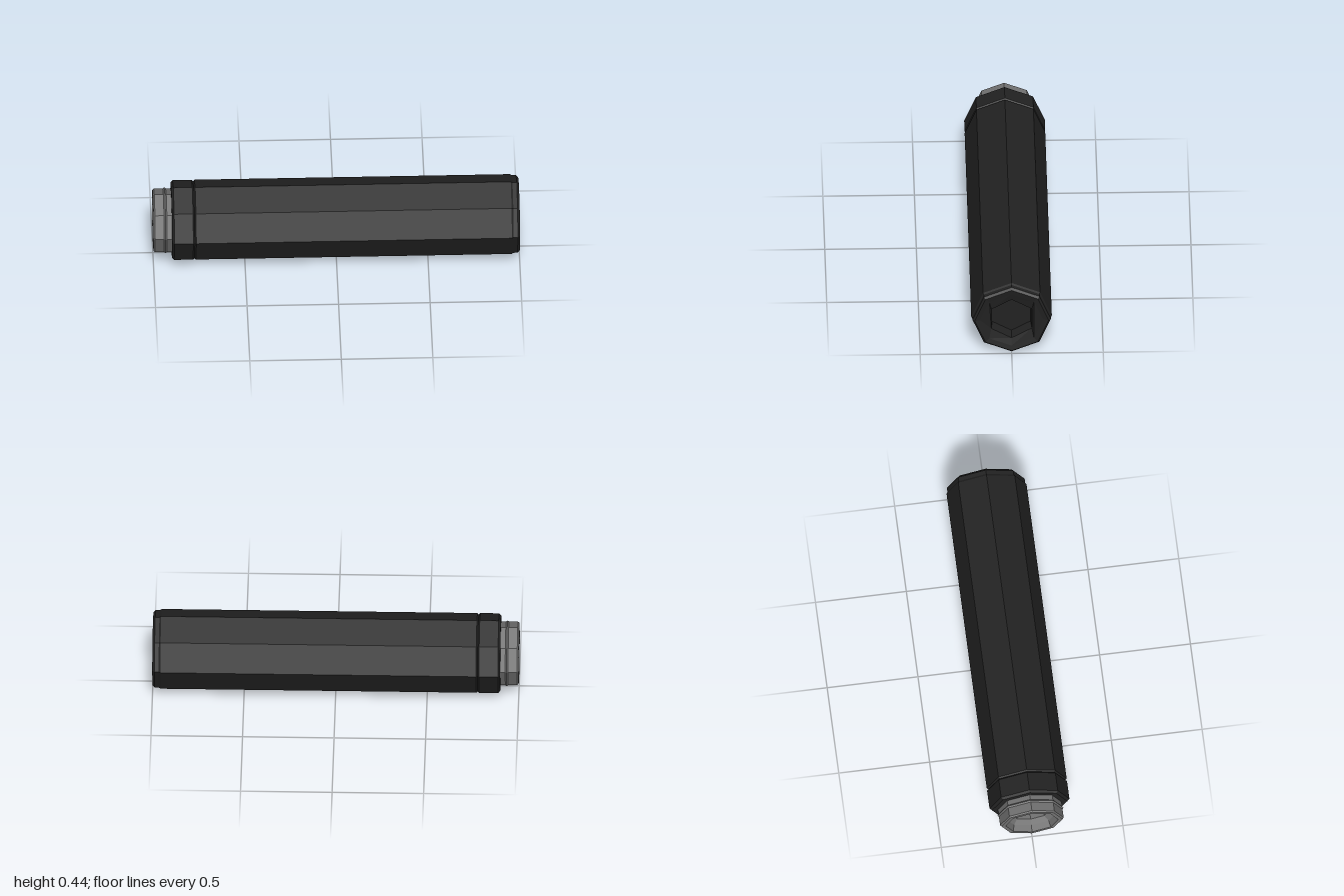
import * as THREE from 'three';

const AXIS_Y = 0.22; // height of the long axis

// Faceted finish: every face keeps its own normal
function facet(geo) {
  const g = geo.index ? geo.toNonIndexed() : geo;
  g.computeVertexNormals();
  return g;
}

// Turned part along x from [x, radius] pairs; a corner always points straight up
function turned(name, profile, sides, material) {
  const pts = profile.map(([x, r]) => new THREE.Vector2(r, x));
  const geo = new THREE.LatheGeometry(pts, sides, Math.PI / 2);
  geo.rotateZ(-Math.PI / 2);
  const mesh = new THREE.Mesh(facet(geo), material);
  mesh.name = name;
  mesh.position.y = AXIS_Y;
  return mesh;
}

function polygon(sides, r) {
  return Array.from({ length: sides }, (_, i) => {
    const a = Math.PI / 2 + (i * Math.PI * 2) / sides;
    return new THREE.Vector2(Math.cos(a) * r, Math.sin(a) * r);
  });
}

export function createModel() {
  const black = new THREE.MeshStandardMaterial({ color: 0x222222 });
  black.name = 'blackMetal';
  const steel = new THREE.MeshStandardMaterial({ color: 0x727272 });
  steel.name = 'greyMetal';

  const model = new THREE.Group();
  model.name = 'octagonalTube';

  // Rear collar, with a narrow groove before the main tube
  model.add(turned('rearCollar', [
    [-0.9, 0.15], [-0.9, 0.207], [-0.888, 0.22], [-0.785, 0.22], [-0.777, 0.212],
  ], 8, black));

  // Main tube and stepped front rim
  model.add(turned('mainTube', [
    [-0.777, 0.212], [-0.769, 0.22], [0.955, 0.22], [0.965, 0.214],
    [0.988, 0.214], [1.0, 0.202], [0.994, 0.172],
  ], 8, black));

  // Dished front face, octagon outside and hexagon inside
  const shape = new THREE.Shape(polygon(8, 0.172));
  shape.holes.push(new THREE.Path(polygon(6, 0.128)));
  const dish = new THREE.ShapeGeometry(shape);
  dish.rotateY(Math.PI / 2);
  const p = dish.attributes.position;
  for (let i = 0; i < p.count; i++) {
    p.setX(i, Math.hypot(p.getY(i), p.getZ(i)) > 0.15 ? 0.994 : 0.982);
  }
  const face = new THREE.Mesh(facet(dish), black);
  face.name = 'frontFace';
  face.position.y = AXIS_Y;
  model.add(face);

  // Hexagonal front socket with a flat floor
  model.add(turned('frontSocket', [
    [0.982, 0.128], [0.92, 0.121], [0.92, 0],
  ], 6, black));

  // Grey rear neck with a raised ridge, and a tapering blind bore
  model.add(turned('rearNeck', [
    [-0.87, 0], [-0.87, 0.1], [-0.94, 0.105], [-0.965, 0.135], [-1.0, 0.145],
    [-1.0, 0.168], [-0.992, 0.175], [-0.943, 0.175], [-0.935, 0.182],
    [-0.927, 0.175], [-0.89, 0.175],
  ], 8, steel));

  return model;
}
